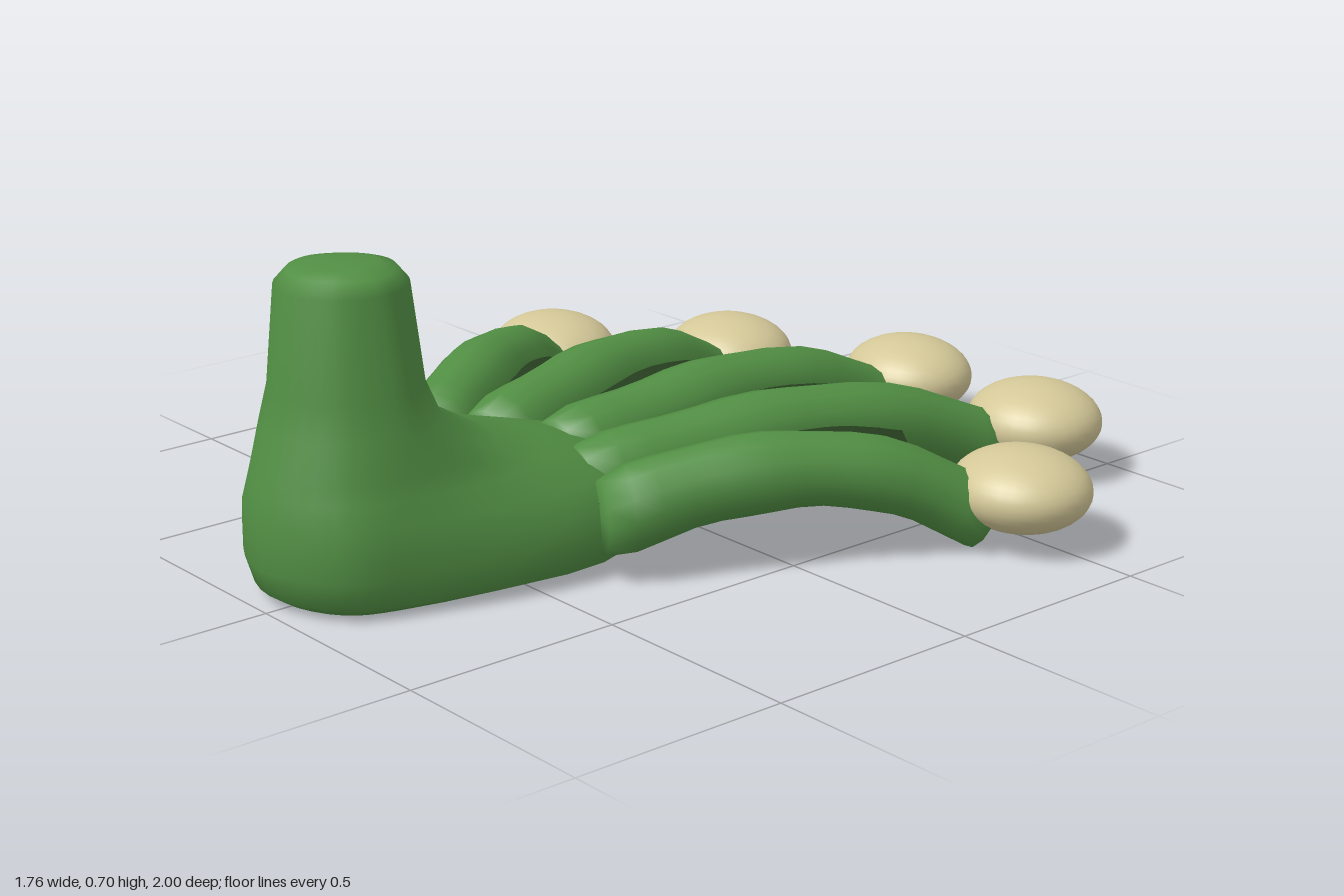
import * as THREE from 'three';

const skin = new THREE.MeshStandardMaterial({ color: 0x528f44 });
skin.name = 'green skin';
const webbing = new THREE.MeshStandardMaterial({ color: 0x263f1f, side: THREE.DoubleSide });
webbing.name = 'dark green webbing';
const pad = new THREE.MeshStandardMaterial({ color: 0xd4c898 });
pad.name = 'tan toe pad';

function build(pos, idx) {
  const g = new THREE.BufferGeometry();
  g.setAttribute('position', new THREE.Float32BufferAttribute(pos, 3));
  g.setIndex(idx);
  g.computeVertexNormals();
  return g;
}

// Skin joining closed rings of Vector3, smoothly closed at both ends
function loft(rings) {
  const n = rings[0].length, last = (rings.length - 1) * n, pos = [], idx = [];
  const add = (p) => pos.push(p.x, p.y, p.z) / 3 - 1;
  const middle = (ring) => ring.reduce((s, p) => s.addScaledVector(p, 1 / n), new THREE.Vector3());
  rings.forEach((ring) => ring.forEach(add));
  const start = add(middle(rings[0])), end = add(middle(rings[rings.length - 1]));
  for (let j = 0; j < n; j++) {
    const k = (j + 1) % n;
    for (let a = 0; a < last; a += n) {
      idx.push(a + j, a + k, a + n + k, a + j, a + n + k, a + n + j);
    }
    idx.push(start, k, j, end, last + j, last + k);
  }
  return build(pos, idx);
}

function mesh(name, geometry, material) {
  const m = new THREE.Mesh(geometry, material);
  m.name = name;
  return m;
}

// Horizontal slice of the foot and leg: rounded heel, sides, tapering front
function footRing([y, back, heelZ, heelW, ballZ, ballW, front]) {
  const half = [
    [heelW * 0.72, heelZ + (back - heelZ) * 0.66], [heelW, heelZ],
    [ballW, ballZ], [ballW * 0.62, front + (ballZ - front) * 0.3],
  ];
  const outline = [[0, back], ...half, [0, front], ...half.map(([x, z]) => [-x, z]).reverse()];
  const curve = new THREE.CatmullRomCurve3(
    outline.map(([x, z]) => new THREE.Vector3(x - 0.014, y, z)), true, 'centripetal');
  return Array.from({ length: 40 }, (_, i) => curve.getPoint(i / 40));
}

// Arched centre line of a toe from its base to its tip, seen from above as a line
function toePath([x0, z0, x1, z1, baseY]) {
  const heights = [baseY, 0.192, 0.21, 0.178, 0.075];
  return new THREE.CatmullRomCurve3(heights.map((y, i) => {
    const t = i / 4;
    return new THREE.Vector3(x0 + (x1 - x0) * t, y, z0 + (z1 - z0) * t);
  }));
}

function toeGeometry(path) {
  const steps = 14, sides = 12, rings = [];
  for (let i = 0; i <= steps; i++) {
    const t = i / steps, c = path.getPoint(t), dir = path.getTangent(t);
    dir.y *= Math.min(1, t * 4); // upright base
    dir.normalize();
    const side = new THREE.Vector3(0, 1, 0).cross(dir).normalize();
    const up = dir.clone().cross(side);
    const r = (0.092 - 0.016 * t + 0.003 * Math.sin(t * 20)) * (i === 0 ? 0.88 : 1);
    rings.push(Array.from({ length: sides }, (_, j) => {
      const a = (j / sides) * Math.PI * 2;
      return c.clone().addScaledVector(side, Math.cos(a) * r).addScaledVector(up, Math.sin(a) * r);
    }));
  }
  return loft(rings);
}

// Sheet between two toes, with a slightly scooped front edge
function webGeometry(pathA, pathB, endA, endB) {
  const rows = 12, cols = 8, pos = [], idx = [];
  for (let i = 0; i <= rows; i++) {
    for (let j = 0; j <= cols; j++) {
      const s = j / cols, t = i / rows, bow = Math.sin(s * Math.PI);
      const reach = 1 - 0.035 * bow;
      const p = pathA.getPoint(t * endA * reach).lerp(pathB.getPoint(t * endB * reach), s);
      pos.push(p.x, p.y + 0.03 - 0.02 * bow, p.z);
      if (i < rows && j < cols) {
        const a = i * (cols + 1) + j, b = a + cols + 1;
        idx.push(a, a + 1, b + 1, a, b + 1, b);
      }
    }
  }
  return build(pos, idx);
}

export function createModel() {
  const model = new THREE.Group();
  model.name = 'webbedFoot';

  // Foot and leg: height, back z, heel z, heel half width, ball z, ball half width, front z
  const slices = [
    [0.003, 0.94, 0.78, 0.18, 0.36, 0.225, 0.2],
    [0.03, 0.98, 0.78, 0.225, 0.34, 0.295, 0.1],
    [0.09, 1.0, 0.78, 0.238, 0.33, 0.31, 0.06],
    [0.15, 1.0, 0.78, 0.238, 0.33, 0.292, 0.07],
    [0.2, 1.0, 0.78, 0.233, 0.36, 0.26, 0.13],
    [0.25, 0.99, 0.78, 0.215, 0.46, 0.21, 0.31],
    [0.29, 0.98, 0.78, 0.205, 0.56, 0.195, 0.45],
    [0.37, 0.96, 0.78, 0.19, 0.68, 0.18, 0.59],
    [0.45, 0.94, 0.78, 0.17, 0.72, 0.163, 0.62],
    [0.66, 0.92, 0.79, 0.143, 0.74, 0.136, 0.64],
    [0.69, 0.89, 0.79, 0.118, 0.75, 0.112, 0.665],
    [0.7, 0.85, 0.785, 0.07, 0.76, 0.065, 0.7],
  ];
  model.add(mesh('footAndLeg', loft(slices.map(footRing)), skin));

  // Toes: base x, base z, tip x, tip z, base height, then pad x, pad z
  const toes = [
    [-0.322, 0.355, -0.655, -0.265, 0.135, -0.72, -0.325],
    [-0.185, 0.295, -0.39, -0.58, 0.155, -0.425, -0.645],
    [-0.012, 0.235, -0.012, -0.765, 0.165, -0.012, -0.855],
    [0.14, 0.295, 0.38, -0.735, 0.155, 0.42, -0.83],
    [0.29, 0.355, 0.67, -0.39, 0.135, 0.72, -0.46],
  ];
  const paths = toes.map(toePath);
  const padGeometry = new THREE.SphereGeometry(0.159, 32, 20);
  toes.forEach(([, , , , , x, z], i) => {
    model.add(mesh('toe' + (i + 1), toeGeometry(paths[i]), skin));
    const tip = mesh('toePad' + (i + 1), padGeometry, pad);
    tip.scale.set(1, 0.57, i === 2 ? 0.91 : 0.94);
    tip.position.set(x, 0.13, z);
    model.add(tip);
  });

  // Webs: how far along each neighbouring toe they reach
  const reaches = [[0.9, 0.66], [0.89, 0.77], [0.87, 0.88], [0.75, 0.93]];
  reaches.forEach(([a, b], i) => {
    model.add(mesh('web' + (i + 1), webGeometry(paths[i], paths[i + 1], a, b), webbing));
  });

  return model;
}
